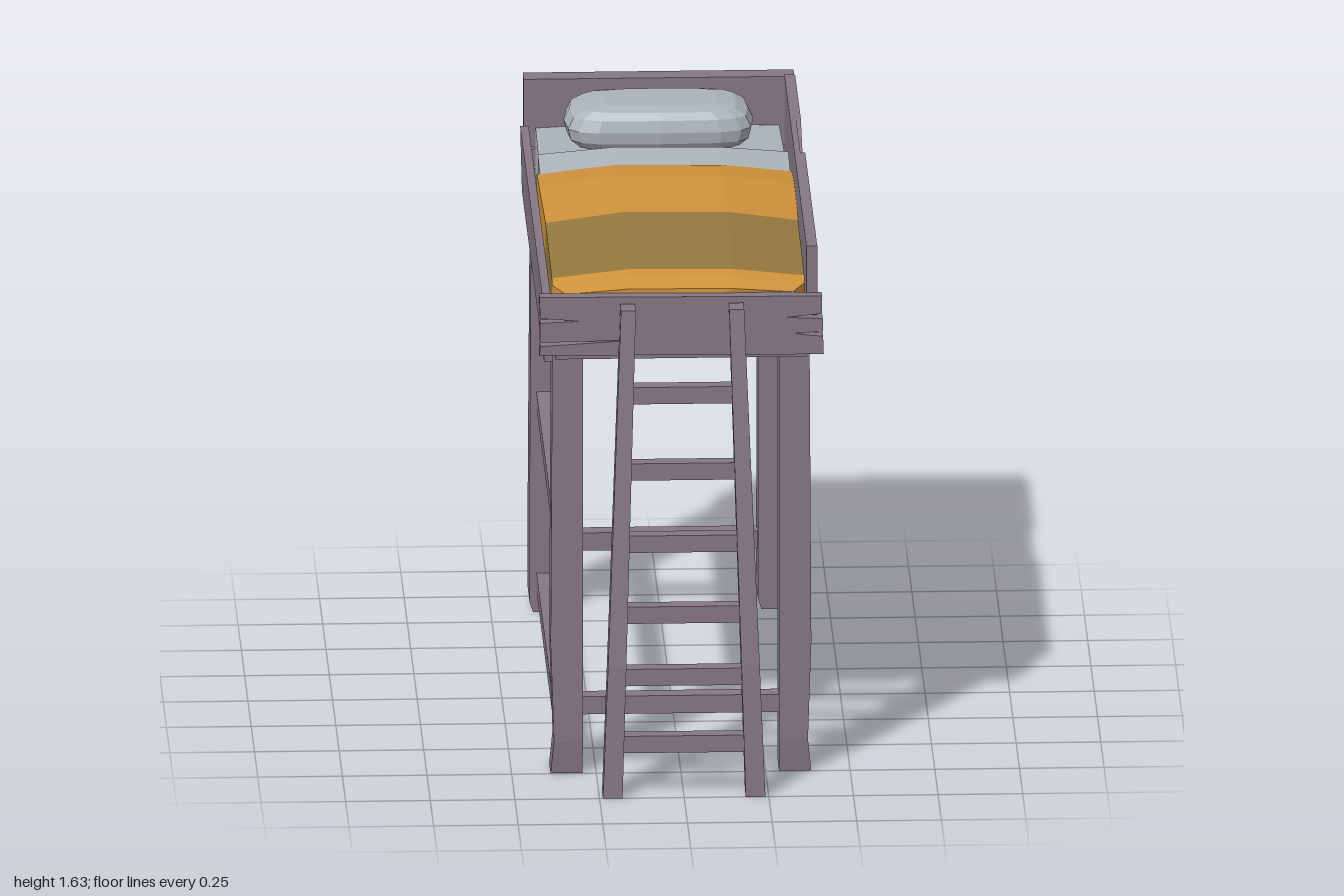
import * as THREE from 'three';

const mat = (name, color) => Object.assign(new THREE.MeshStandardMaterial({ color }), { name, flatShading: true });

// Skin between rings of 3D points (counter-clockwise seen from the far end), with end caps
function loft(rings) {
  const n = rings[0].length, idx = [];
  for (let r = 0; r < rings.length - 1; r++) {
    for (let i = 0; i < n; i++) {
      const j = (i + 1) % n, a = r * n + i, b = r * n + j;
      idx.push(a, b, b + n, a, b + n, a + n);
    }
  }
  const e = (rings.length - 1) * n;
  for (let i = 1; i < n - 1; i++) idx.push(0, i + 1, i, e, e + i, e + i + 1);
  const g = new THREE.BufferGeometry();
  g.setAttribute('position', new THREE.Float32BufferAttribute(rings.flat(2), 3));
  g.setIndex(idx);
  const flat = g.toNonIndexed();
  flat.computeVertexNormals();
  return flat;
}

// Post with a rectangular section at each height: [y, x0, x1, z0, z1]
const post = (sections) => loft(sections.map(([y, x0, x1, z0, z1]) =>
  [[x0, y, z1], [x1, y, z1], [x1, y, z0], [x0, y, z0]]));

// Upright plank in the xy plane from an outline, thickness along z
function plank(points, z0, z1) {
  const shape = new THREE.Shape(points.map(([x, y]) => new THREE.Vector2(x, y)));
  return new THREE.ExtrudeGeometry(shape, { depth: z1 - z0, bevelEnabled: false }).translate(0, 0, z0);
}

export function createModel() {
  const model = new THREE.Group();
  model.name = 'loftBed';
  const wood = mat('mauve wood', 0x857783);
  const orange = mat('orange blanket', 0xce923b);
  const olive = mat('olive blanket band', 0x95773f);
  const linen = mat('grey linen', 0xabb3b9);

  const add = (name, geometry, material = wood) => {
    const mesh = new THREE.Mesh(geometry, material);
    mesh.name = name;
    model.add(mesh);
    return mesh;
  };
  const box = (name, x0, x1, y0, y1, z0, z1) => add(name, new THREE.BoxGeometry(x1 - x0, y1 - y0, z1 - z0)
    .translate((x0 + x1) / 2, (y0 + y1) / 2, (z0 + z1) / 2));

  // Legs, slightly rough hewn; the back pair flares out at the foot
  for (const s of [-1, 1]) {
    const xs = (a, b) => (s > 0 ? [a, b] : [-b, -a]);
    add('frontLeg', post([
      [0, ...xs(0.29, 0.385), 0.64, 0.745],
      [0.1, ...xs(0.29, 0.375), 0.64, 0.755],
      [0.4, ...xs(0.29, 0.385), 0.64, 0.755],
      [1.31, ...xs(0.29, 0.38), 0.64, 0.755]]));
    add('backLeg', post([
      [0, ...xs(0.3, 0.375), -0.98, -0.845],
      [0.03, ...xs(0.29, 0.385), -0.998, -0.845],
      [0.4, ...xs(0.29, 0.385), -0.99, -0.845],
      [1.32, ...xs(0.29, 0.38), -0.955, -0.855]]));
  }

  // Stretchers between the legs
  box('frontStretcher', -0.3, 0.3, 0.175, 0.23, 0.67, 0.725);
  box('backStretcher', -0.3, 0.3, 0.175, 0.23, -0.94, -0.885);
  box('lowerSideStretcher', -0.365, -0.31, 0.065, 0.12, -0.86, 0.65);
  box('upperSideStretcher', -0.365, -0.31, 0.63, 0.68, -0.86, 0.65);

  // Bed base and low side rail
  box('bedBase', -0.37, 0.37, 1.285, 1.33, -0.92, 0.76);
  add('rightRail', post([
    [1.28, -0.405, -0.38, -0.92, 0.765],
    [1.48, -0.41, -0.385, -0.92, 0.765]]));

  // Front board and headboard with cracks running in from the ends
  add('frontBoard', plank([
    [-0.42, 1.31], [0.42, 1.305], [0.418, 1.36], [0.33, 1.37], [0.418, 1.375], [0.417, 1.415],
    [0.31, 1.42], [0.415, 1.43], [0.415, 1.485], [-0.42, 1.49], [-0.418, 1.425], [-0.3, 1.415],
    [-0.418, 1.41], [-0.418, 1.35], [-0.14, 1.355], [-0.418, 1.338]], 0.762, 0.802));
  add('headboard', plank([
    [-0.4, 1.32], [0.402, 1.315], [0.402, 1.345], [0.33, 1.355], [0.402, 1.358], [0.4, 1.4],
    [0.34, 1.41], [0.4, 1.418], [0.4, 1.625], [-0.4, 1.625], [-0.4, 1.42], [-0.35, 1.412],
    [-0.4, 1.405], [-0.4, 1.36], [-0.3, 1.355], [-0.4, 1.345]], -0.985, -0.918));

  // Tall side rail: an inner panel and an outer layer with a chipped wedge
  box('leftRailInner', 0.37, 0.388, 1.31, 1.63, -0.92, 0.77);
  const outer = plank([[-0.77, 1.31], [0.92, 1.31], [0.92, 1.63], [0.48, 1.63],
    [0.2, 1.48], [0.15, 1.63], [-0.77, 1.63]], 0, 0.014);
  add('leftRailOuter', outer.rotateY(Math.PI / 2).translate(0.388, 0, 0));

  // Leaning ladder
  for (const s of [-1, 1]) {
    const xs = (a, b) => (s > 0 ? [a, b] : [-b, -a]);
    add('ladderRail', post([
      [0, ...xs(0.182, 0.24), 0.93, 1.0],
      [0.4, ...xs(0.17, 0.224), 0.902, 0.98],
      [1.47, ...xs(0.138, 0.182), 0.812, 0.88]]));
  }
  for (const y of [0.158, 0.36, 0.548, 0.762, 0.98, 1.21]) {
    const w = 0.205 - 0.034 * y, z = 0.965 - 0.081 * y;
    box('ladderRung', -w, w, y - 0.026, y + 0.026, z - 0.024, z + 0.024);
  }

  // Bedding slices along z: [z, half width, edge height, crown height]
  const bedding = (name, material, slices) => add(name, loft(slices.map(([z, w, e, c]) => [
    [-w, 1.33, z], [w - 0.01, 1.33, z], [w - 0.01, e, z], [0.16, c, z + 0.01], [-0.15, c, z], [-w, e, z]])), material);
  bedding('mattress', linen, [[-0.915, 0.365, 1.475, 1.485], [-0.48, 0.37, 1.49, 1.505], [0.7, 0.365, 1.47, 1.48]]);
  bedding('foldedSheet', linen, [[-0.51, 0.367, 1.5, 1.51], [-0.48, 0.375, 1.53, 1.55], [-0.3, 0.375, 1.515, 1.535]]);
  bedding('blanketTop', orange, [[-0.335, 0.384, 1.515, 1.54], [-0.17, 0.384, 1.53, 1.56], [0.18, 0.378, 1.525, 1.556]]);
  bedding('blanketBand', olive, [[0.18, 0.378, 1.525, 1.556], [0.66, 0.378, 1.505, 1.53]]);
  bedding('blanketEnd', orange, [[0.66, 0.378, 1.505, 1.53], [0.7, 0.378, 1.495, 1.522], [0.758, 0.34, 1.485, 1.5]]);

  // Pillow: rounded rectangle rings, widest at mid height
  const pillow = [[1.48, 0.82], [1.515, 0.97], [1.55, 1], [1.585, 0.94], [1.605, 0.82], [1.616, 0.6]];
  add('pillow', loft(pillow.map(([y, k]) => Array.from({ length: 16 }, (_, i) => {
    const a = -(i / 16) * Math.PI * 2, c = Math.cos(a), s = Math.sin(a);
    const sq = (v) => Math.sign(v) * Math.abs(v) ** 0.45;
    return [-0.008 + 0.28 * k * sq(c), y, -0.757 + 0.148 * k * sq(s)];
  }))), linen);

  return model;
}
